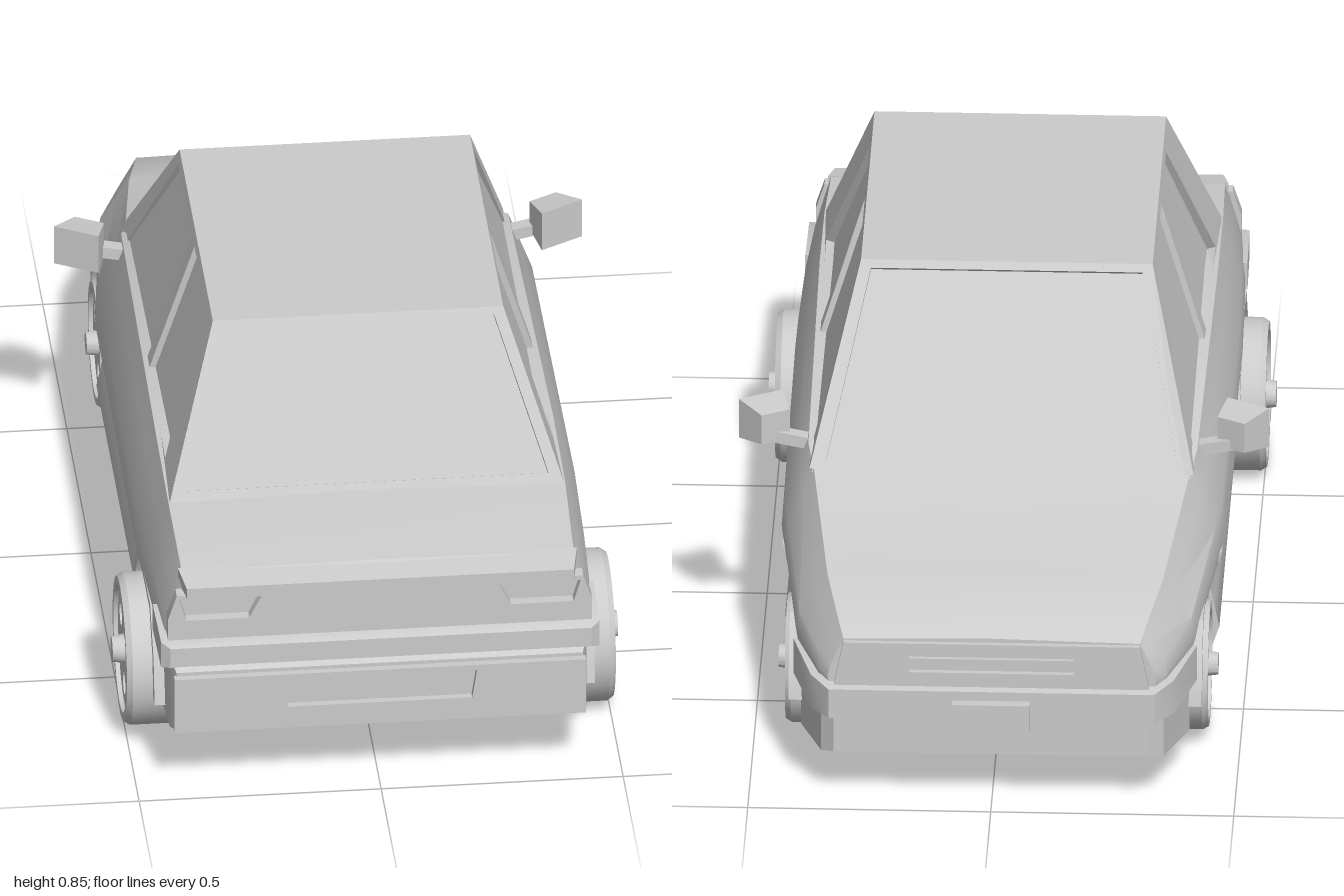
import * as THREE from 'three';
import { toCreasedNormals } from 'three/addons/utils/BufferGeometryUtils.js';

const material = new THREE.MeshStandardMaterial({ color: 0xcccccc });

function mesh(name, geometry, crease = 0.5) {
  const m = new THREE.Mesh(toCreasedNormals(geometry, crease), material);
  m.name = name;
  return m;
}

// Mirror a geometry across x and keep its faces pointing outward
function mirrored(geometry) {
  const g = geometry.index ? geometry.toNonIndexed() : geometry.clone();
  g.scale(-1, 1, 1);
  const p = g.attributes.position, a = new THREE.Vector3(), b = new THREE.Vector3();
  for (let i = 0; i < p.count; i += 3) {
    a.fromBufferAttribute(p, i + 1);
    b.fromBufferAttribute(p, i + 2);
    p.setXYZ(i + 1, b.x, b.y, b.z);
    p.setXYZ(i + 2, a.x, a.y, a.z);
  }
  return g;
}

// Loft symmetric cross-sections from +z to -z; each half runs from top centre to bottom centre
function loft(sections) {
  const pos = [], idx = [];
  const rings = sections.map(({ z, half }) => {
    const other = half.slice(1, -1).reverse().map(([x, y]) => [-x, y]);
    return [...half, ...other].map(([x, y]) => [x, y, z]);
  });
  const n = rings[0].length;
  rings.forEach(r => r.forEach(p => pos.push(...p)));
  for (let k = 0; k < rings.length - 1; k++) {
    for (let i = 0; i < n; i++) {
      const a = k * n + i, b = k * n + (i + 1) % n;
      idx.push(a, b, b + n, a, b + n, a + n);
    }
  }
  [0, rings.length - 1].forEach((k, end) => {
    const half = sections[k].half, c = pos.length / 3;
    pos.push(0, (half[0][1] + half[half.length - 1][1]) / 2, sections[k].z);
    for (let i = 0; i < n; i++) {
      const a = k * n + i, b = k * n + (i + 1) % n;
      if (end) idx.push(c, a, b); else idx.push(c, b, a);
    }
  });
  const g = new THREE.BufferGeometry();
  g.setAttribute('position', new THREE.Float32BufferAttribute(pos, 3));
  g.setIndex(idx);
  return g;
}

// Rectangular loft, rows of [z, halfWidth, top, bottom]
const slab = rows => loft(rows.map(([z, x, t, b]) => ({ z, half: [[0, t], [x, t], [x, b], [0, b]] })));

// Flat plate with polygonal holes
function plate(outline, holes, depth) {
  const vec = pts => pts.map(p => new THREE.Vector2(...p));
  const shape = new THREE.Shape(vec(outline));
  holes.forEach(h => shape.holes.push(new THREE.Path(vec(h))));
  return new THREE.ExtrudeGeometry(shape, { depth, bevelEnabled: false });
}
const rect = (x0, y0, x1, y1) => [[x0, y0], [x1, y0], [x1, y1], [x0, y1]];

// Window frame stretched over four corners: bottom left, bottom right, top right, top left
function windowFrame(corners, holes) {
  const [a, b, c, d] = corners.map(p => new THREE.Vector3(...p));
  const normal = b.clone().sub(a).cross(d.clone().sub(a)).normalize();
  const g = plate(rect(0, 0, 1, 1), holes, 1);
  const p = g.attributes.position;
  for (let i = 0; i < p.count; i++) {
    const u = p.getX(i), v = p.getY(i), w = p.getZ(i);
    const q = a.clone().lerp(b, u).lerp(d.clone().lerp(c, u), v).addScaledVector(normal, (w - 1) * 0.018);
    p.setXYZ(i, q.x, q.y, q.z);
  }
  return g;
}

// Wheel with its outer face toward +x
function wheel(r, w) {
  const g = new THREE.Group();
  const profile = [[0, 0], [r * 0.92, 0], [r, 0.012], [r, w - 0.012], [r * 0.95, w], [r * 0.84, w], [r * 0.81, w - 0.022], [0, w - 0.022]];
  const tyre = new THREE.LatheGeometry(profile.map(p => new THREE.Vector2(...p)), 32).rotateZ(-Math.PI / 2);
  const disc = new THREE.Shape().absarc(0, 0, r * 0.82, 0, Math.PI * 2);
  for (let i = 0; i < 6; i++) {
    const t = Math.PI / 6 + i * Math.PI / 3;
    disc.holes.push(new THREE.Path().absarc(Math.cos(t) * r * 0.52, Math.sin(t) * r * 0.52, r * 0.16, 0, Math.PI * 2, true));
  }
  const rim = new THREE.ExtrudeGeometry(disc, { depth: 0.012, bevelEnabled: false, curveSegments: 14 });
  rim.rotateY(Math.PI / 2).translate(w - 0.021, 0, 0);
  const hub = new THREE.CylinderGeometry(r * 0.17, r * 0.2, 0.034, 16).rotateZ(-Math.PI / 2).translate(w, 0, 0);
  g.add(mesh('tyre', tyre), mesh('rim', rim), mesh('hub', hub));
  return g;
}

export function createModel() {
  const car = new THREE.Group();
  car.name = 'car';
  const add = (name, g, crease) => car.add(mesh(name, g, crease));
  const addPair = (name, g, crease) => {
    add('left' + name, g, crease);
    add('right' + name, mirrored(g), crease);
  };

  // Main body: [z, top, topHalfWidth, maxHalfWidth, bottom]
  const rows = [
    [0.955, 0.475, 0.405, 0.44, 0.29], [0.93, 0.505, 0.405, 0.445, 0.29], [0.7, 0.535, 0.41, 0.455, 0.3],
    [0.45, 0.545, 0.41, 0.46, 0.3], [-0.38, 0.535, 0.4, 0.455, 0.3], [-0.45, 0.503, 0.385, 0.445, 0.29],
    [-0.77, 0.427, 0.345, 0.41, 0.27], [-0.92, 0.39, 0.315, 0.36, 0.26], [-0.95, 0.368, 0.305, 0.338, 0.26],
  ];
  add('body', loft(rows.map(([z, t, tx, mx, b]) => {
    const h = t - b;
    return { z, half: [[0, t + 0.006], [tx, t], [tx * 0.65 + mx * 0.35, t - h * 0.22], [mx - 0.006, b + h * 0.45], [mx, b + h * 0.2], [mx - 0.005, b], [0, b]] };
  })), 0.45);

  // Floor and sills
  add('floor', slab([[0.95, 0.33, 0.31, 0.17], [0.46, 0.33, 0.31, 0.085], [-0.45, 0.33, 0.3, 0.085], [-0.93, 0.29, 0.29, 0.1]]));
  const sill = [[0, 0.32], [0.452, 0.32], [0.447, 0.3], [0.425, 0.26], [0.437, 0.2], [0.447, 0.15], [0.425, 0.085], [0, 0.085]];
  add('sills', loft([0.44, -0.42].map(z => ({ z, half: sill }))), 0.7);

  // Cabin: glass core, roof and window frames
  const core = new THREE.BoxGeometry(1, 1, 1);
  const cp = core.attributes.position;
  for (let i = 0; i < cp.count; i++) {
    const top = cp.getY(i) > 0, back = cp.getZ(i) > 0;
    const z = top ? (back ? 0.507 : -0.157) : (back ? 0.69 : -0.43);
    cp.setXYZ(i, Math.sign(cp.getX(i)) * (top ? 0.288 : 0.393), top ? 0.85 : 0.51, z);
  }
  add('glass', core);
  add('roof', slab([[0.52, 0.3, 0.855, 0.84], [-0.17, 0.3, 0.855, 0.84]]));
  const RB = 0.705, RT = 0.52, FB = -0.445, FT = -0.17, Y = 0.855;
  const opening = [[[0.03, 0.06], [0.97, 0.06], [0.96, 0.96], [0.04, 0.96]]];
  add('rearWindowFrame', windowFrame([[-0.407, 0.535, RB], [0.407, 0.535, RB], [0.3, Y, RT], [-0.3, Y, RT]], opening));
  add('windscreenFrame', windowFrame([[0.39, 0.5, FB], [-0.39, 0.5, FB], [-0.3, Y, FT], [0.3, Y, FT]], opening));
  addPair('SideWindowFrame', windowFrame([[0.409, 0.53, RB], [0.395, 0.51, FB], [0.3, Y, FT], [0.3, Y, RT]], [
    [[0.134, 0.06], [0.467, 0.06], [0.474, 0.95], [0.198, 0.95]],
    [[0.507, 0.06], [0.932, 0.06], [0.942, 0.95], [0.536, 0.95]],
  ]));

  // Tail: lid lip, lamp panel, bumper, valance with plate recess
  add('bootLip', slab([[0.985, 0.4, 0.495, 0.472], [0.92, 0.412, 0.508, 0.465]]));
  const lamp = [[0.27, 0.415], [0.4, 0.415], [0.415, 0.465], [0.245, 0.465]];
  add('lampPanel', plate([[-0.438, 0.365], [0.438, 0.365], [0.438, 0.42], [0.42, 0.475], [-0.42, 0.475], [-0.438, 0.42]],
    [lamp, lamp.map(([x, y]) => [-x, y])], 0.03).translate(0, 0, 0.948));
  add('rearBumper', slab([[1, 0.435, 0.362, 0.318], [0.985, 0.453, 0.37, 0.31], [0.83, 0.455, 0.37, 0.31]]));
  add('rearValance', slab([[0.968, 0.42, 0.285, 0.15], [0.94, 0.43, 0.31, 0.14], [0.82, 0.435, 0.31, 0.13]]));
  add('rearPlateSurround', plate(rect(-0.425, 0.15, 0.425, 0.277),
    [[[-0.19, 0.2], [0.19, 0.2], [0.2, 0.265], [-0.2, 0.265]]], 0.018).translate(0, 0, 0.965));

  // Nose: grille, bumper, valance and plate
  add('grilleSurround', plate([[-0.325, 0.265], [0.325, 0.265], [0.305, 0.365], [-0.305, 0.365]],
    [rect(-0.17, 0.3, 0.17, 0.348)], 0.014).rotateY(Math.PI).translate(0, 0, -0.948));
  add('grilleBar', new THREE.BoxGeometry(0.34, 0.012, 0.012).translate(0, 0.324, -0.953));
  add('frontBumper', slab([[-0.77, 0.415, 0.278, 0.2], [-0.93, 0.373, 0.275, 0.2], [-0.978, 0.335, 0.265, 0.2]]));
  add('frontValance', slab([[-0.77, 0.4, 0.27, 0.085], [-0.925, 0.352, 0.25, 0.1], [-0.95, 0.325, 0.25, 0.11]]));
  add('frontPlate', new THREE.BoxGeometry(0.16, 0.06, 0.03).translate(0, 0.215, -0.985));

  // Angular wheel arches, then wheels: [name, z, y, radius, width, inner x, arch x]
  const axles = [['Rear', 0.65, 0.16, 0.158, 0.11, 0.395, 0.455], ['Front', -0.59, 0.15, 0.136, 0.095, 0.34, 0.425]];
  for (const [name, z, y, r, w, x, ax] of axles) {
    const arc = (k, dy) => [[-1.24, -0.05], [-1.12, 0.5], [-0.72, 1.0], [0.72, 1.0], [1.12, 0.5], [1.24, -0.05]]
      .map(([u, v]) => [u * r * k, v * (r + dy)]);
    const arch = plate([...arc(1.12, 0.018), ...arc(0.98, 0.002).reverse()], [], 0.09);
    addPair(name + 'Arch', arch.rotateY(Math.PI / 2).translate(ax - 0.09, y, z));
    for (const side of [1, -1]) {
      const g = wheel(r, w);
      g.name = (side > 0 ? 'left' : 'right') + name + 'Wheel';
      g.position.set(side * x, y, z);
      if (side < 0) g.rotation.y = Math.PI;
      car.add(g);
    }
  }

  // Door mirrors: tapered housing on a short stalk
  const housing = new THREE.BoxGeometry(0.1, 0.088, 0.07);
  const hp = housing.attributes.position;
  for (let i = 0; i < hp.count; i++) {
    if (hp.getZ(i) < 0) hp.setXYZ(i, hp.getX(i) * 0.65, hp.getY(i) * 0.75, hp.getZ(i));
  }
  addPair('MirrorHousing', housing.rotateY(0.5).translate(0.485, 0.556, -0.32));
  addPair('MirrorStalk', new THREE.BoxGeometry(0.09, 0.025, 0.03).rotateZ(0.2).translate(0.435, 0.525, -0.335));

  return car;
}
